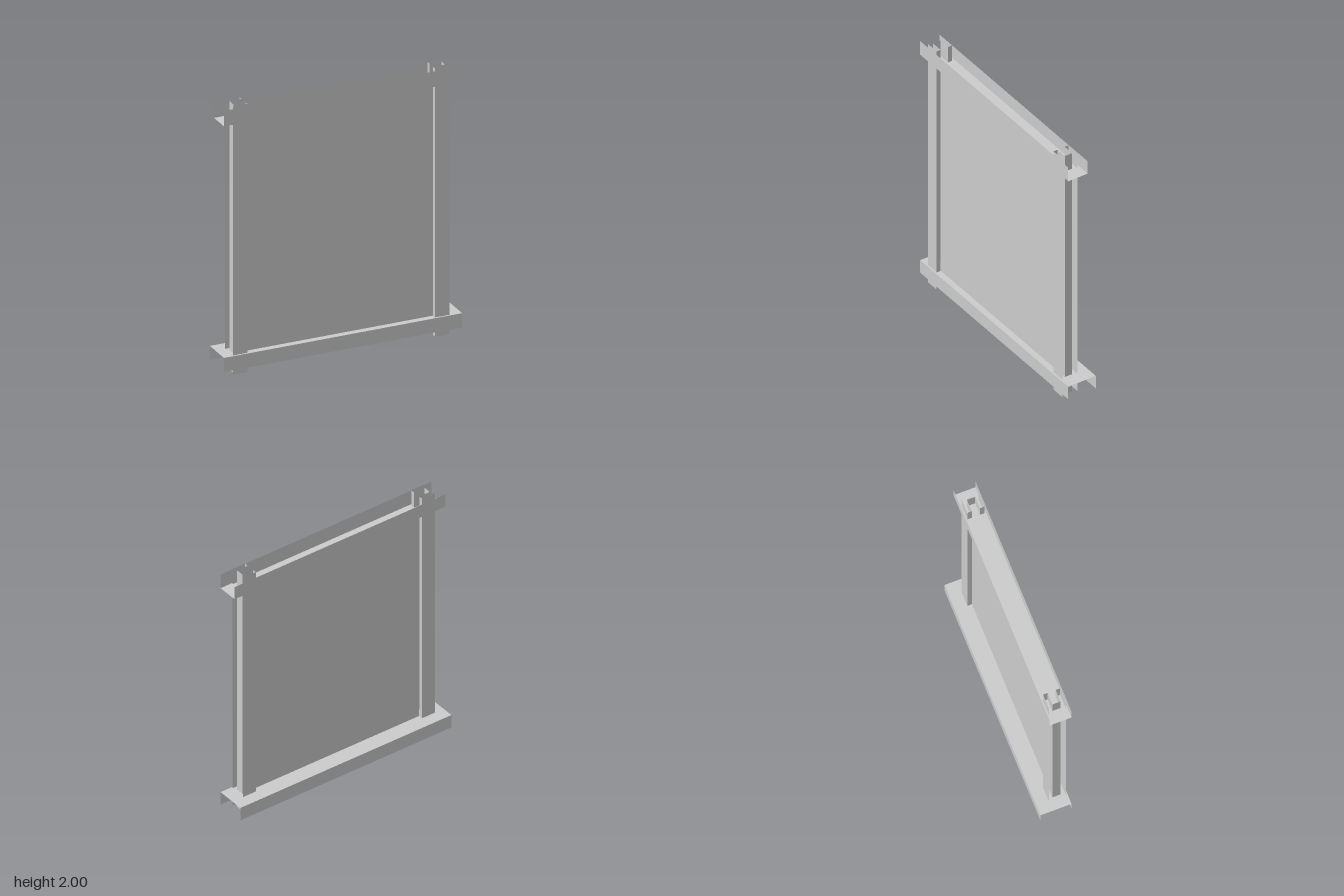
import * as THREE from 'three';

const material = new THREE.MeshStandardMaterial({
  color: 0xcccccc, flatShading: true, side: THREE.DoubleSide,
});

// Thin folded sheet: a section of [a, b] points swept between two ends.
// place(a, b, t) turns a section point and an end position into x, y, z.
function foldedSheet(name, section, from, to, place) {
  const positions = [];
  for (let i = 0; i < section.length - 1; i++) {
    const [p, q] = [section[i], section[i + 1]];
    const a = place(...p, from), b = place(...q, from);
    const c = place(...q, to), d = place(...p, to);
    positions.push(...a, ...b, ...c, ...a, ...c, ...d);
  }
  const geometry = new THREE.BufferGeometry();
  geometry.setAttribute('position', new THREE.Float32BufferAttribute(positions, 3));
  geometry.computeVertexNormals();
  const mesh = new THREE.Mesh(geometry, material);
  mesh.name = name;
  return mesh;
}

// Rail: a channel with a web and two flanges, section in (z, y)
function rail(name, webY, frontEdgeY, backEdgeY, backZ) {
  const frontZ = 0.113;
  const section = [[frontZ, frontEdgeY], [frontZ, webY], [backZ, webY], [backZ, backEdgeY]];
  return foldedSheet(name, section, -0.899, 0.899, (z, y, x) => [x, y, z]);
}

// Post: one folded strip, open on its outer side, section in (x, z).
// Front and back faces turn in at the inner edge and return to a recessed web.
function post(name, centreX, side) {
  const outer = 0.054, inner = -0.054, web = 0.036;
  const section = [
    [outer, 0.1], [inner, 0.1], [inner, 0.068], [web, 0.068],
    [web, 0.008], [inner, 0.008], [inner, -0.025], [outer, -0.025],
  ];
  return foldedSheet(name, section, 0, 2, (x, z, y) => [centreX + side * x, y, z]);
}

// Flat panel sheet between two x positions, filling the height between the rails
function panelSheet(name, x0, x1, z) {
  const mesh = new THREE.Mesh(new THREE.PlaneGeometry(x1 - x0, 1.722), material);
  mesh.name = name;
  mesh.position.set((x0 + x1) / 2, 1.006, z);
  return mesh;
}

export function createModel() {
  const model = new THREE.Group();
  model.name = 'framedPanel';

  model.add(rail('topRail', 1.87, 1.985, 1.973, -0.048));
  model.add(rail('bottomRail', 0.145, 0.04, 0.04, -0.115));
  model.add(post('leftPost', 0.755, 1));
  model.add(post('rightPost', -0.771, -1));

  // One sheet in front, two leaves meeting in the middle behind
  model.add(panelSheet('frontPanel', -0.717, 0.701, 0.066));
  model.add(panelSheet('backPanelRight', -0.717, 0, 0.009));
  model.add(panelSheet('backPanelLeft', 0, 0.701, 0.009));
  return model;
}
